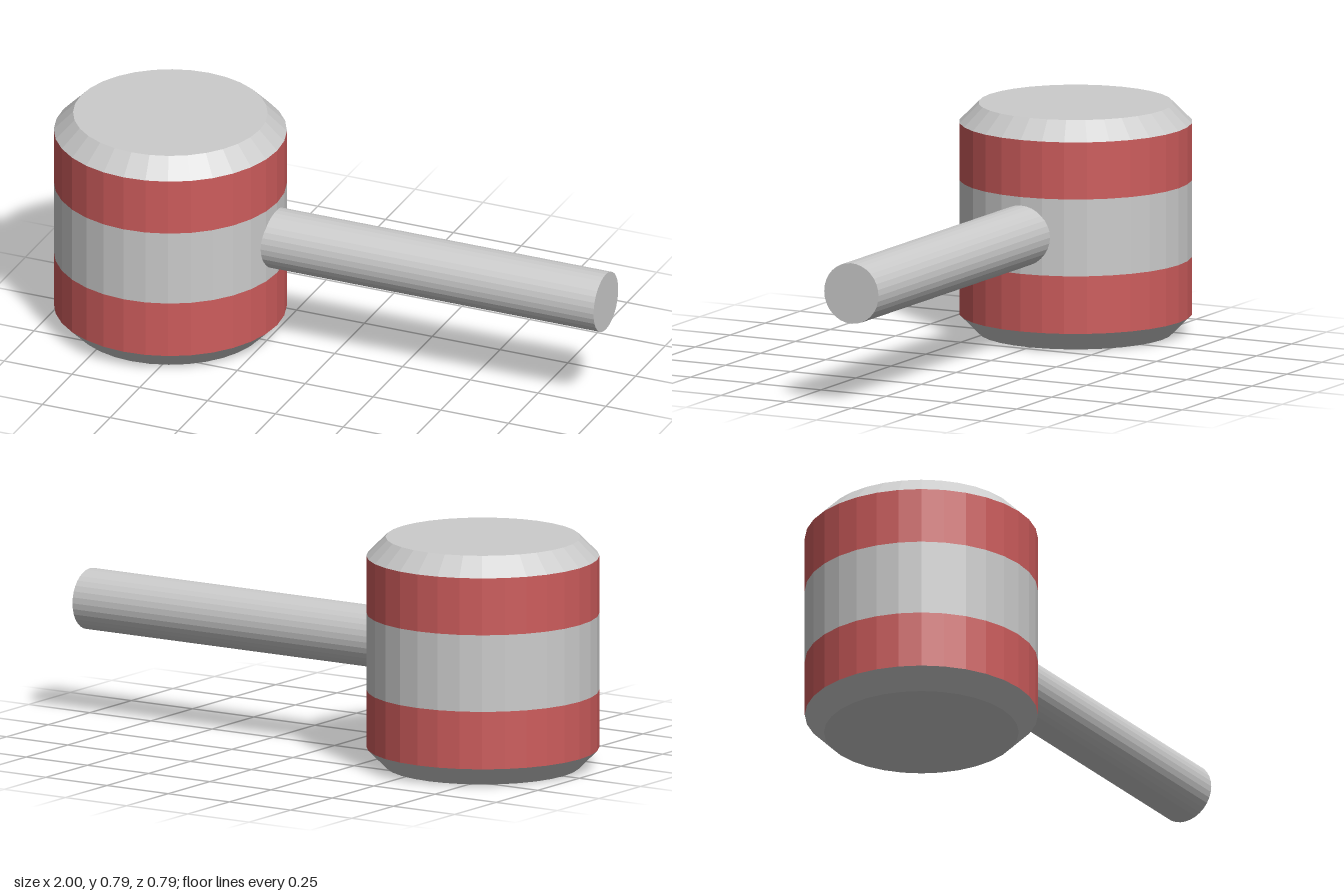
import * as THREE from 'three';

const SIDES = 32;
const HEAD_X = -0.606, RADIUS = 0.394, FACE_RADIUS = 0.329, HEIGHT = 0.788;
const HANDLE_RADIUS = 0.104;

export function createModel() {
  const model = new THREE.Group();
  model.name = 'mallet';
  const grey = new THREE.MeshStandardMaterial({ color: 0xcccccc, flatShading: true });
  const red = new THREE.MeshStandardMaterial({ color: 0xcd5c5c, flatShading: true });

  // Head: stacked turned sections, profiles run from bottom to top
  const head = new THREE.Group();
  head.name = 'head';
  head.position.x = HEAD_X;
  model.add(head);

  const turned = (name, material, profile) => {
    const points = profile.map(([r, y]) => new THREE.Vector2(r, y));
    const mesh = new THREE.Mesh(new THREE.LatheGeometry(points, SIDES), material);
    mesh.name = name;
    head.add(mesh);
  };
  const band = (name, material, y0, y1) => turned(name, material, [[RADIUS, y0], [RADIUS, y1]]);

  turned('lowerStrikingFace', grey, [[0, 0], [FACE_RADIUS, 0], [RADIUS, 0.065]]);
  band('lowerRedBand', red, 0.065, 0.263);
  band('middleBand', grey, 0.263, 0.527);
  band('upperRedBand', red, 0.527, 0.723);
  turned('upperStrikingFace', grey, [[RADIUS, 0.723], [FACE_RADIUS, HEIGHT], [0, HEIGHT]]);

  // Handle: starts inside the head and runs out along +x
  const start = -0.3, end = 1;
  const handle = new THREE.Mesh(
    new THREE.CylinderGeometry(HANDLE_RADIUS, HANDLE_RADIUS, end - start, SIDES), grey);
  handle.name = 'handle';
  handle.rotation.z = -Math.PI / 2;
  handle.position.set((start + end) / 2, HEIGHT / 2, 0);
  model.add(handle);

  return model;
}
